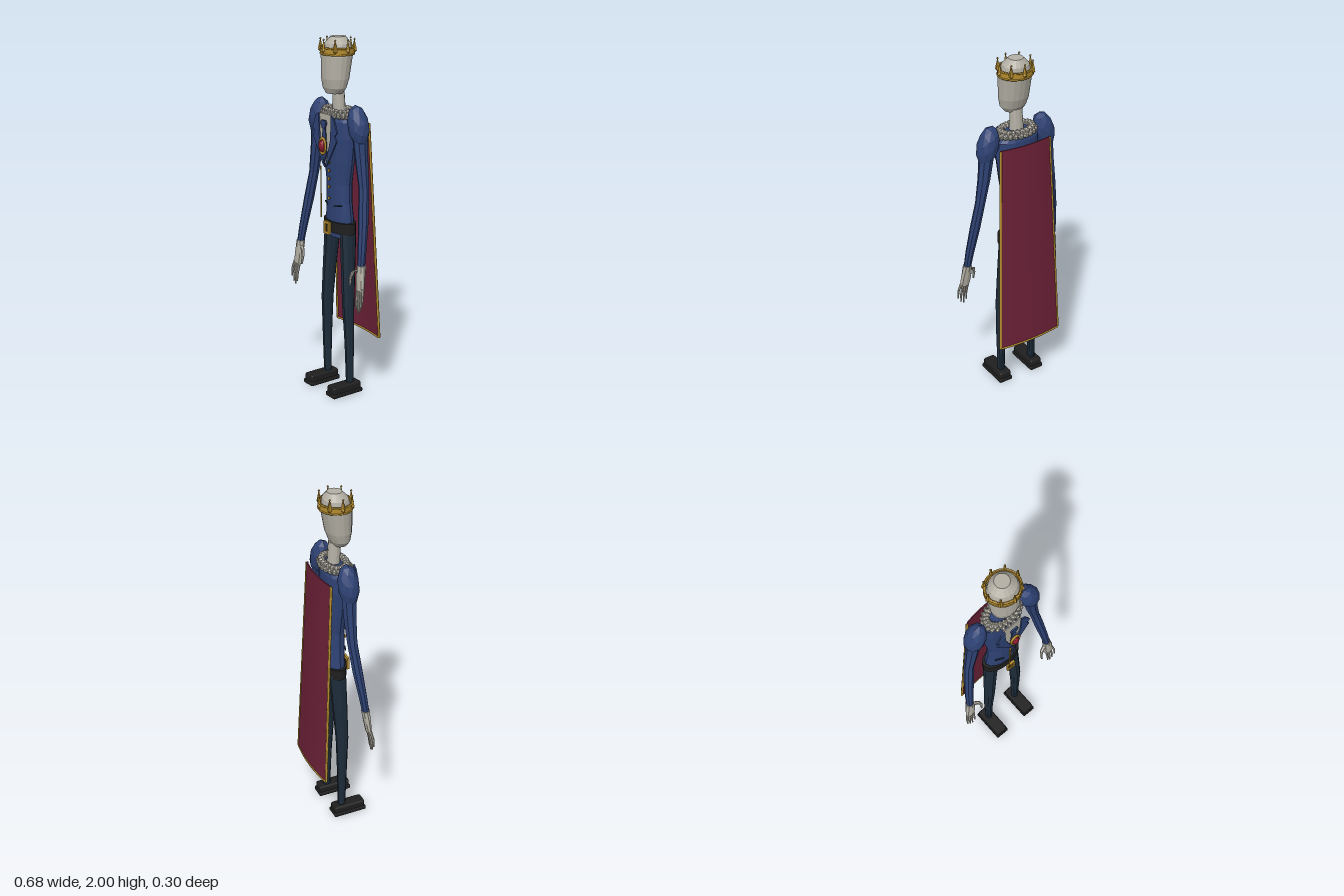
import * as THREE from 'three';
import { RoundedBoxGeometry } from 'three/addons/geometries/RoundedBoxGeometry.js';

const mat = (name, color) => Object.assign(new THREE.MeshStandardMaterial({ color }), { name });

export function createModel() {
  const root = new THREE.Group();
  root.name = 'king';
  const bone = mat('bone', 0xb3afa4), blue = mat('royal blue', 0x2e4274), navy = mat('dark navy', 0x1d2c3a),
    black = mat('black leather', 0x1f1f1f), gold = mat('gold', 0xb58d2e), wine = mat('wine red', 0x6c2138),
    ruby = mat('ruby', 0x8c1a2c);

  // Faceted normals without touching the material
  const facet = (g) => {
    const f = g.index ? g.toNonIndexed() : g;
    f.computeVertexNormals();
    return f;
  };
  const add = (name, geo, material, parent = root, pos = [0, 0, 0], rot = [0, 0, 0]) => {
    const m = new THREE.Mesh(geo, material);
    m.name = name;
    m.position.set(...pos);
    m.rotation.set(...rot);
    parent.add(m);
    return m;
  };

  // Stack of level ellipses [x, y, z, rx, rz] from bottom to top, capped
  const loft = (rings, sides) => {
    const p = [], idx = [], n = rings.length;
    rings.forEach(([x, y, z, rx, rz]) => {
      for (let j = 0; j < sides; j++) {
        const a = (j / sides) * Math.PI * 2;
        p.push(x + rx * Math.cos(a), y, z + rz * Math.sin(a));
      }
    });
    for (const r of [rings[0], rings[n - 1]]) p.push(r[0], r[1], r[2]);
    for (let j = 0; j < sides; j++) {
      const k = (j + 1) % sides, t = (n - 1) * sides;
      for (let i = 0; i < n - 1; i++) {
        const a = i * sides + j, b = i * sides + k;
        idx.push(a, a + sides, b + sides, a, b + sides, b);
      }
      idx.push(n * sides, j, k, n * sides + 1, t + k, t + j);
    }
    const g = new THREE.BufferGeometry();
    g.setAttribute('position', new THREE.Float32BufferAttribute(p, 3));
    g.setIndex(idx);
    return facet(g);
  };

  // Thin plate from an outline in x, y
  const plate = (pts, depth, hole) => {
    const s = new THREE.Shape(pts.map(([x, y]) => new THREE.Vector2(x, y)));
    if (hole) s.holes.push(new THREE.Path(hole.map(([x, y]) => new THREE.Vector2(x, y))));
    return new THREE.ExtrudeGeometry(s, { depth, bevelEnabled: false });
  };
  const rect = (w, h) => [[-w, -h], [w, -h], [w, h], [-w, h]];

  // Head and neck
  add('head', loft([[0, 1.7, 0.035, 0.05, 0.042], [0, 1.73, 0.034, 0.076, 0.056], [0, 1.78, 0.029, 0.086, 0.07],
    [0, 1.9, 0.018, 0.093, 0.082], [0, 1.965, 0.012, 0.075, 0.068], [0, 2, 0.008, 0.04, 0.04]], 18), bone);
  add('neck', loft([[0, 1.54, 0, 0.042, 0.036], [0, 1.72, 0.008, 0.034, 0.032]], 12), bone);

  // Crown: band, rims and eight points
  const crown = new THREE.Group();
  crown.name = 'crown';
  crown.position.set(0, 1.928, 0.014);
  crown.scale.z = 0.94;
  root.add(crown);
  const band = new THREE.LatheGeometry([[0.086, -0.022], [0.095, -0.022], [0.096, 0.018], [0.086, 0.018], [0.086, -0.022]]
    .map(([x, y]) => new THREE.Vector2(x, y)), 24);
  add('crownBand', facet(band), gold, crown);
  for (const y of [-0.018, 0.016])
    add('crownRim', new THREE.TorusGeometry(0.094, 0.005, 6, 24), gold, crown, [0, y, 0], [Math.PI / 2, 0, 0]);
  for (let i = 0; i < 8; i++) {
    const a = (i / 8) * Math.PI * 2, x = 0.094 * Math.cos(a), z = 0.094 * Math.sin(a);
    add('crownPoint', facet(new THREE.ConeGeometry(0.013, 0.058, 4)), gold, crown, [x, 0.035, z], [0, -a, 0]);
    add('crownBead', facet(new THREE.OctahedronGeometry(0.008)), gold, crown, [x, 0.058, z]);
    add('crownStud', facet(new THREE.OctahedronGeometry(0.012)), gold, crown, [x * 1.03, 0, z * 1.03], [0, -a, 0]);
  }

  // Pleated ruff in two staggered rows
  const ruff = new THREE.Group();
  ruff.name = 'ruff';
  root.add(ruff);
  for (let row = 0; row < 2; row++)
    for (let i = 0; i < 22; i++) {
      const a = ((i + row / 2) / 22) * Math.PI * 2, r = 1 - row * 0.12;
      const m = add('ruffPleat', facet(new THREE.IcosahedronGeometry(0.021, 0)), bone, ruff,
        [0.105 * r * Math.cos(a), 1.585 + row * 0.018, 0.005 + 0.066 * r * Math.sin(a)], [0, -a, 0.4]);
      m.scale.set(1.15, 0.95, 0.75);
    }

  // Coat, hips and belt
  add('coat', loft([[0, 0.9, -0.004, 0.1, 0.054], [0, 1, -0.003, 0.104, 0.058], [0, 1.1, 0, 0.093, 0.056],
    [0, 1.2, 0, 0.091, 0.056], [0, 1.32, 0, 0.112, 0.06], [0, 1.46, 0, 0.13, 0.064],
    [0, 1.55, 0, 0.128, 0.062], [0, 1.6, 0, 0.07, 0.045]], 16), blue);
  add('belt', loft([[0, 0.928, -0.003, 0.122, 0.064], [0, 0.99, -0.003, 0.122, 0.064]], 20), black);
  add('buckle', plate(rect(0.025, 0.036), 0.014, rect(0.013, 0.022)), gold, root, [0, 0.958, 0.076]);
  add('bucklePlate', new THREE.BoxGeometry(0.028, 0.046, 0.006), black, root, [0, 0.958, 0.08]);
  add('bucklePin', new THREE.BoxGeometry(0.008, 0.036, 0.006), gold, root, [0.002, 0.958, 0.085]);

  // Shirt front, cravat and lapels
  add('shirtFront', plate([[0, 1.3], [0.05, 1.45], [0.06, 1.59], [-0.06, 1.59], [-0.05, 1.45]], 0.006), bone, root, [0, 0, 0.084]);
  add('cravatKnot', plate([[-0.012, 1.515], [0.012, 1.515], [0.026, 1.545], [0.018, 1.56], [-0.018, 1.56], [-0.026, 1.545]], 0.009),
    blue, root, [0, 0, 0.1]);
  add('cravatTail', plate([[0, 1.33], [0.024, 1.38], [0.012, 1.515], [-0.012, 1.515], [-0.024, 1.38]], 0.006), blue, root, [0, 0, 0.098]);
  for (const s of [1, -1]) {
    const lapel = [[0.002, 1.3], [0.02, 1.315], [0.108, 1.46], [0.09, 1.485], [0.112, 1.505], [0.082, 1.575], [0.056, 1.59], [0.05, 1.46]];
    add('lapel', plate(lapel.map(([x, y]) => [s * x, y]), 0.008), blue, root, [0, 0, 0.091]);
    add('pocket', new THREE.BoxGeometry(0.05, 0.007, 0.006), navy, root, [s * 0.052, 1.085, 0.05], [0, s * 0.4, s * 0.12]);
  }
  add('coatPiping', new THREE.BoxGeometry(0.006, 0.29, 0.005), gold, root, [-0.028, 1.16, 0.104]);
  for (const y of [1.325, 1.28, 1.235, 1.19, 1.125])
    add('button', new THREE.CylinderGeometry(0.009, 0.009, 0.007, 10), gold, root, [0.004, y, 0.074], [Math.PI / 2, 0, 0]);

  // Pendant
  const pendant = new THREE.Group();
  pendant.name = 'pendant';
  pendant.position.set(0, 1.42, 0.11);
  pendant.scale.set(0.75, 1.15, 1);
  root.add(pendant);
  add('pendantBack', new THREE.CylinderGeometry(0.038, 0.038, 0.008, 16), gold, pendant, [0, 0, 0], [Math.PI / 2, 0, 0]);
  add('pendantRim', new THREE.TorusGeometry(0.037, 0.007, 6, 18), gold, pendant, [0, 0, 0.003]);
  add('pendantGem', facet(new THREE.IcosahedronGeometry(0.03, 1)), ruby, pendant, [0, 0, 0.004]).scale.z = 0.68;

  // Limbs, built on the left and mirrored to the right
  for (const s of [1, -1]) {
    const side = s > 0 ? 'left' : 'right';
    const mx = (rings) => rings.map(([x, ...r]) => [s * x, ...r]);
    const puff = add(side + 'ShoulderPuff', facet(new THREE.IcosahedronGeometry(1, 1)), blue, root, [s * 0.177, 1.545, 0.007], [0, 0, s * 0.27]);
    puff.scale.set(0.06, 0.113, 0.058);
    add(side + 'Sleeve', loft(mx([[0.285, 0.8, 0.066, 0.02, 0.021], [0.275, 0.9, 0.052, 0.024, 0.024], [0.253, 1.06, 0.028, 0.028, 0.029],
      [0.229, 1.22, 0.008, 0.027, 0.029], [0.205, 1.36, 0.005, 0.034, 0.036], [0.185, 1.52, 0.005, 0.042, 0.044]]), 8), blue);

    // Hand with four fingers and a thumb
    const hand = new THREE.Group();
    hand.name = side + 'Hand';
    root.add(hand);
    add('palm', loft(mx([[0.297, 0.675, 0.08, 0.03, 0.014], [0.29, 0.73, 0.074, 0.034, 0.018],
      [0.287, 0.78, 0.068, 0.028, 0.022], [0.285, 0.812, 0.064, 0.025, 0.025]]), 8), bone, hand);
    for (let i = 0; i < 4; i++) {
      const x = 0.275 + i * 0.015, tip = [0.57, 0.55, 0.56, 0.59][i], dx = 0.005 + i * 0.002;
      add('finger', loft(mx([[x + dx, tip, 0.096, 0.004, 0.004], [x + dx, tip + 0.05, 0.092, 0.0065, 0.007],
        [x, 0.69, 0.08, 0.0075, 0.009]]), 6), bone, hand);
    }
    add('thumb', loft(mx([[0.228, 0.69, 0.098, 0.005, 0.006], [0.226, 0.735, 0.092, 0.008, 0.008],
      [0.238, 0.768, 0.083, 0.012, 0.009], [0.27, 0.785, 0.072, 0.014, 0.012]]), 6), bone, hand);

    // Leg and shoe
    add(side + 'Leg', loft(mx([[0.106, 0.05, 0.007, 0.02, 0.022], [0.105, 0.3, 0.009, 0.025, 0.029], [0.098, 0.52, 0.012, 0.03, 0.037],
      [0.086, 0.72, 0.004, 0.034, 0.043], [0.07, 0.95, -0.006, 0.04, 0.05]]), 10), navy);
    add(side + 'Sole', new RoundedBoxGeometry(0.084, 0.024, 0.2, 1, 0.006), black, root, [s * 0.108, 0.012, 0.047]);
    add(side + 'Shoe', new RoundedBoxGeometry(0.074, 0.05, 0.19, 1, 0.012), black, root, [s * 0.108, 0.038, 0.047]);
  }

  // Cape: curved panel widening and sloping back toward the hem
  const capePoint = (u, t, off = 0) => new THREE.Vector3(u * (0.155 + 0.042 * t), 1.545 - 1.222 * t,
    -0.098 - 0.05 * t + 0.017 * u * u + off);
  const cape = new THREE.BoxGeometry(2, 1, 0.006, 12, 4, 1), cp = cape.attributes.position;
  for (let i = 0; i < cp.count; i++) {
    const v = capePoint(cp.getX(i), 0.5 - cp.getY(i), cp.getZ(i));
    cp.setXYZ(i, v.x, v.y, v.z);
  }
  cape.computeVertexNormals();
  add('cape', cape, wine);
  const trim = (name, fn, n) => add(name, new THREE.TubeGeometry(
    new THREE.CatmullRomCurve3(Array.from({ length: n + 1 }, (_, i) => fn(i / n))), 16, 0.0075, 6), gold);
  trim('capeTrimLeft', (t) => capePoint(1, t), 4);
  trim('capeTrimRight', (t) => capePoint(-1, t), 4);
  trim('capeTrimHem', (t) => capePoint(t * 2 - 1, 1), 12);
  return root;
}
